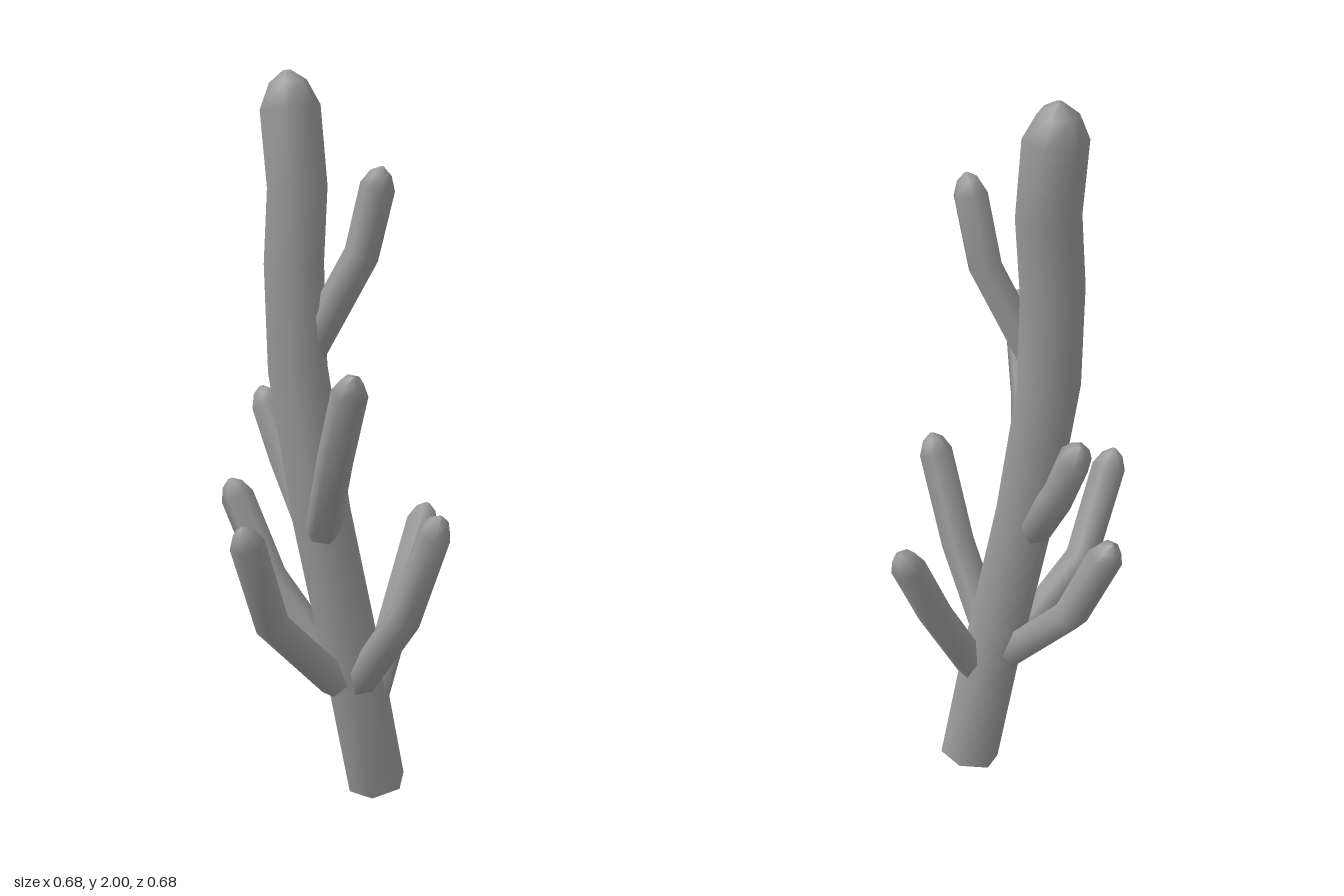
import * as THREE from 'three';

const SIDES = 6;

// Sweeps an open six-sided tube along a bent path, closed by a rounded tip.
// turn rotates the hexagon about the path.
function limb(name, points, radius, turn, material) {
  const path = points.map(p => new THREE.Vector3(...p));
  const last = path.length - 1;
  const dirs = path.slice(1).map((p, i) => p.clone().sub(path[i]).normalize());
  const end = dirs[last - 1];

  // Rings along the path, then two shrinking ones for the dome
  const rings = path.map((center, i) => ({
    center,
    dir: dirs[Math.max(i - 1, 0)].clone().add(dirs[Math.min(i, last - 1)]).normalize(),
    r: radius,
  }));
  for (const [rise, scale] of [[0.8, 0.62], [1.15, 0.12]]) {
    rings.push({ center: path[last].clone().addScaledVector(end, radius * rise), dir: end, r: radius * scale });
  }

  const pos = [], index = [];
  const side = new THREE.Vector3(1, 0, 0);
  for (const { center, dir, r } of rings) {
    side.addScaledVector(dir, -side.dot(dir)).normalize();
    const up = new THREE.Vector3().crossVectors(dir, side);
    for (let k = 0; k < SIDES; k++) {
      const a = (k / SIDES) * Math.PI * 2 + turn;
      const v = center.clone().addScaledVector(side, r * Math.cos(a)).addScaledVector(up, r * Math.sin(a));
      pos.push(v.x, v.y, v.z);
    }
  }
  for (let i = 0; i < rings.length - 1; i++) {
    for (let k = 0; k < SIDES; k++) {
      const a = i * SIDES + k, b = i * SIDES + (k + 1) % SIDES;
      index.push(a, b, b + SIDES, a, b + SIDES, a + SIDES);
    }
  }
  // Tip fan
  const top = (rings.length - 1) * SIDES;
  for (let k = 1; k < SIDES - 1; k++) index.push(top, top + k, top + k + 1);

  const geometry = new THREE.BufferGeometry();
  geometry.setAttribute('position', new THREE.Float32BufferAttribute(pos, 3));
  geometry.setIndex(index);
  geometry.computeVertexNormals();
  const mesh = new THREE.Mesh(geometry, material);
  mesh.name = name;
  return mesh;
}

export function createModel() {
  const group = new THREE.Group();
  group.name = 'branchingStem';
  const material = new THREE.MeshStandardMaterial({ color: 0x999999, side: THREE.DoubleSide });
  const half = Math.PI / SIDES;

  // Leaning, gently curved trunk
  group.add(limb('trunk', [
    [0.11, 0.02, -0.13], [0.065, 0.33, -0.07], [-0.03, 0.82, -0.037], [-0.1, 1.22, -0.065],
    [-0.112, 1.5, -0.08], [-0.105, 1.7, -0.095], [-0.125, 1.905, -0.105],
  ], 0.083, half, material));

  // Each branch: turn of the hexagon, then base, elbow and tip
  const branches = {
    lowerLeftBranch: [half, [0.07, 0.35, -0.035], [0.215, 0.59, 0.08], [0.297, 0.84, 0.135]],
    lowerFrontBranch: [half, [0.012, 0.355, -0.02], [-0.13, 0.57, 0.15], [-0.175, 0.82, 0.245]],
    lowerRightBranch: [0, [0.015, 0.355, -0.07], [-0.2, 0.6, -0.165], [-0.3, 0.82, -0.2]],
    lowerBackBranch: [half, [0.105, 0.3, -0.09], [0.165, 0.56, -0.23], [0.21, 0.745, -0.3]],
    middleFrontBranch: [0, [-0.02, 0.795, 0.01], [0.045, 1.04, 0.19], [0.1, 1.24, 0.295]],
    middleBackBranch: [half, [-0.065, 0.78, -0.07], [-0.155, 0.95, -0.155], [-0.21, 1.09, -0.19]],
    upperLeftBranch: [0, [-0.078, 1.255, -0.063], [0.07, 1.53, -0.068], [0.115, 1.71, -0.045]],
  };
  for (const [name, [turn, ...points]] of Object.entries(branches)) {
    group.add(limb(name, points, 0.047, turn, material));
  }
  return group;
}
